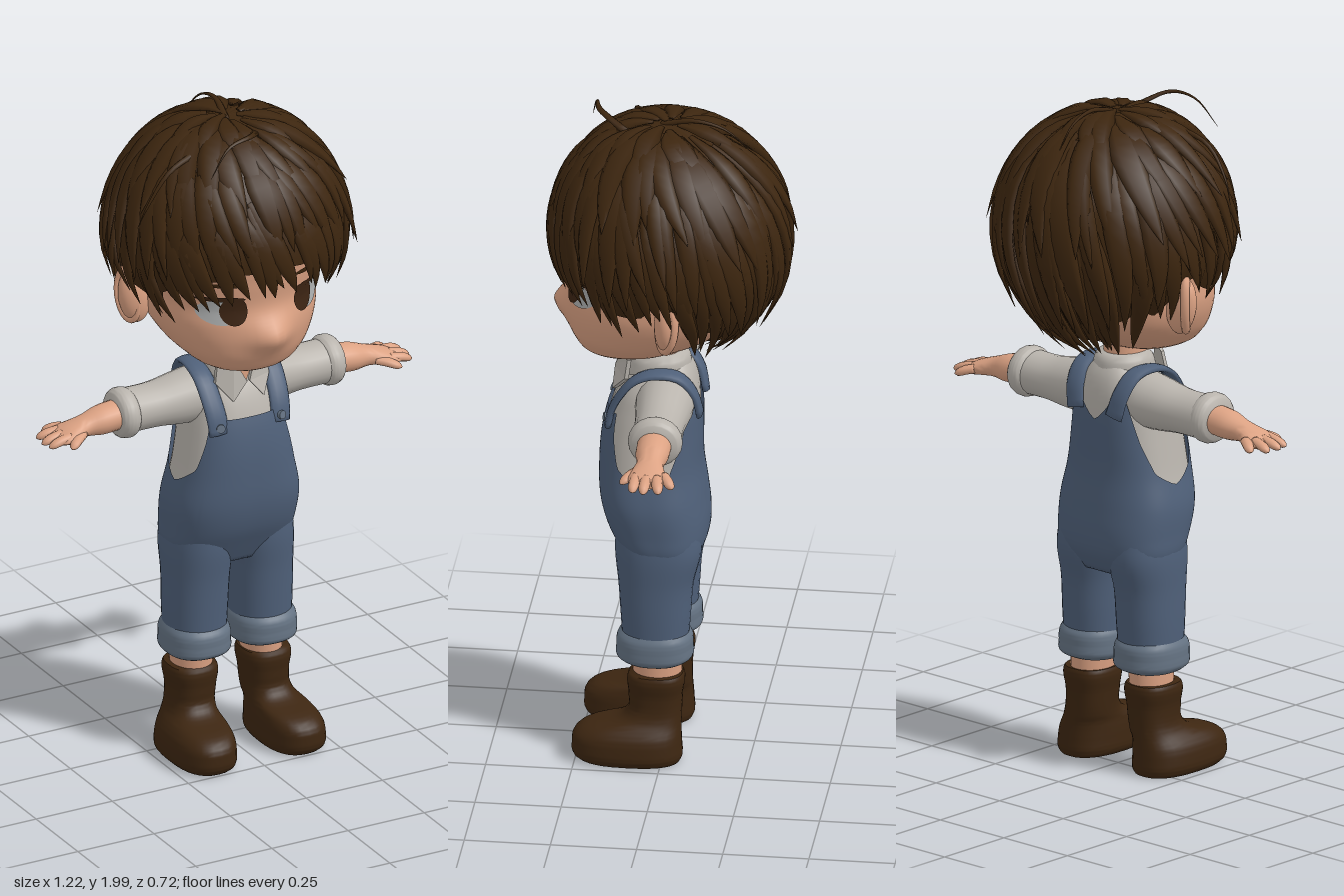
import * as THREE from 'three';
import { toCreasedNormals } from 'three/addons/utils/BufferGeometryUtils.js';

const V = (x, y, z) => new THREE.Vector3(x, y, z);
const mat = (name, color, side = THREE.FrontSide) => {
  const m = new THREE.MeshStandardMaterial({ color, side });
  m.name = name;
  return m;
};

// Interpolates rows of [key, ...values]
function sampler(rows, Kind = THREE.CubicInterpolant) {
  const f = new Kind(rows.map(r => r[0]), rows.flatMap(r => r.slice(1)), rows[0].length - 1);
  return k => Array.from(f.evaluate(k));
}

// Skin over closed rings of points; faces are turned outward
function loft(rings, capped = true, crease = 0) {
  const n = rings[0].length, pts = rings.flat(), tri = [];
  for (let i = 0; i < rings.length - 1; i++) for (let j = 0; j < n; j++) {
    const a = i * n + j, b = i * n + (j + 1) % n;
    tri.push([a, b, b + n], [a, b + n, a + n]);
  }
  if (capped) [0, rings.length - 1].forEach((r, end) => {
    const c = pts.length;
    pts.push(rings[r].reduce((s, p) => s.add(p), V(0, 0, 0)).divideScalar(n));
    for (let j = 0; j < n; j++) {
      const a = r * n + j, b = r * n + (j + 1) % n;
      tri.push(end ? [c, a, b] : [c, b, a]);
    }
  });
  const mid = pts.reduce((s, p) => s.add(p), V(0, 0, 0)).divideScalar(pts.length);
  let volume = 0;
  for (const t of tri) {
    const [a, b, c] = t.map(i => pts[i].clone().sub(mid));
    volume += a.dot(b.cross(c));
  }
  const geo = new THREE.BufferGeometry().setFromPoints(pts);
  geo.setIndex((volume < 0 ? tri.map(t => [t[0], t[2], t[1]]) : tri).flat());
  if (crease) return toCreasedNormals(geo, crease);
  geo.computeVertexNormals();
  return geo;
}

// Horizontal rounded section; one point at angle a from the front
function ovalPoint(a, y, cx, hw, zf, zb, p) {
  const pow = v => Math.sign(v) * Math.abs(v) ** (2 / p);
  return V(cx + hw * pow(Math.sin(a)), y, (zf + zb) / 2 + (zf - zb) / 2 * pow(Math.cos(a)));
}
const around = (n, fn) => Array.from({ length: n }, (_, i) => fn(i / n * Math.PI * 2));
// Upright form from rows of [y, centreX, halfWidth, zFront, zBack]
function upright(rows, s = 1, p = 2.2, steps = 24, crease = 1) {
  const f = sampler(rows), y0 = rows[0][0], y1 = rows.at(-1)[0], rings = [];
  for (let i = 0; i <= steps; i++) {
    const y = y0 + (y1 - y0) * i / steps, [cx, hw, zf, zb] = f(y);
    rings.push(around(32, a => ovalPoint(a, y, s * cx, hw, zf, zb, p)));
  }
  return loft(rings, true, crease);
}
// Sideways form from rows of [x, centreY, halfHeight, halfDepth]
function sideways(rows, s, cz, steps = 16) {
  const f = sampler(rows), x0 = rows[0][0], x1 = rows.at(-1)[0], rings = [];
  for (let i = 0; i <= steps; i++) {
    const x = x0 + (x1 - x0) * i / steps, [cy, hy, hz] = f(x);
    rings.push(around(20, a => V(s * x, cy + hy * Math.cos(a), cz + hz * Math.sin(a))));
  }
  return loft(rings, true, 1);
}
// Band swept along a curve; up(p) is its thickness direction, size(t) its half sizes
function sweep(points, up, size, n = 8, steps = 12) {
  const curve = new THREE.CatmullRomCurve3(points), rings = [];
  for (let i = 0; i <= steps; i++) {
    const p = curve.getPoint(i / steps), t = curve.getTangent(i / steps);
    const side = t.clone().cross(up(p)).normalize(), nor = side.clone().cross(t).normalize();
    const [w, h] = size(i / steps);
    rings.push(around(n, a => p.clone().addScaledVector(side, w * Math.cos(a)).addScaledVector(nor, h * Math.sin(a))));
  }
  return loft(rings);
}

// Head profile and face surface
const headRow = sampler([
  [1.243, .05, .2, .07], [1.26, .12, .24, .0], [1.3, .18, .272, -.1], [1.36, .225, .288, -.2], [1.42, .246, .29, -.25],
  [1.48, .25, .282, -.28], [1.55, .265, .29, -.29], [1.65, .285, .3, -.29], [1.8, .23, .24, -.23], [1.9, .1, .1, -.1]]);
const nose = (x, y) => .042 * Math.exp(-((x / .06) ** 2) - ((y - 1.385) / .05) ** 2);
function faceZ(x, y) {
  const [hw, zf, zb] = headRow(y);
  return (zf + zb) / 2 + (zf - zb) / 2 * Math.max(0, 1 - Math.abs(x / hw) ** 2.2) ** (1 / 2.2) + nose(x, y);
}

// Hair volume: az is measured from the front, phi down from the crown
const hairCentre = V(.01, 1.62, 0);
const hem = sampler([[0, 1.76], [.5, 1.82], [.9, 1.95], [1.25, 2.1], [1.45, 2.02], [1.6, 1.85], [1.8, 2.1], [2.1, 2.5], [3.15, 2.78]],
  THREE.LinearInterpolant);
const hemAt = az => hem(Math.abs(Math.atan2(Math.sin(az), Math.cos(az))))[0];
function hairPoint(az, phi, lift) {
  const taper = 1 - .12 * THREE.MathUtils.smoothstep(phi, 1.7, 2.4);
  const r = Math.sin(phi);
  return V((.335 + lift) * r * Math.sin(az) * taper, (.345 + lift) * Math.cos(phi), (.335 + lift) * r * Math.cos(az)).add(hairCentre);
}

export function createModel() {
  const model = new THREE.Group();
  const skin = mat('skin', 0xdca283), hairMat = mat('dark brown hair', 0x3d260f, THREE.DoubleSide);
  const denim = mat('blue denim', 0x4f6079, THREE.DoubleSide), cuffMat = mat('pale denim', 0x657383);
  const shirt = mat('grey white shirt', 0xb9b4ad), leather = mat('brown leather', 0x3d2611);
  const white = mat('eye white', 0xaeb0b0), iris = mat('iris brown', 0x3c2413);
  const add = (name, geo, m) => {
    const mesh = new THREE.Mesh(geo, m);
    mesh.name = name;
    model.add(mesh);
    return mesh;
  };

  // Head
  const headRings = [];
  for (let i = 0; i <= 60; i++) {
    const y = 1.243 + .657 * i / 60, [hw, zf, zb] = headRow(y);
    headRings.push(around(64, a => {
      const p = ovalPoint(a, y, 0, hw, zf, zb, 2.2);
      if (Math.cos(a) > 0) p.z += nose(p.x, y);
      return p;
    }));
  }
  add('head', loft(headRings), skin);
  add('neck', upright([[1.12, 0, .06, .1, -.03], [1.3, 0, .06, .11, -.04]], 1, 2, 2), skin);

  // Eye details follow the face
  const patch = (name, cx, cy, rx, ry, off, m) => {
    const g = new THREE.RingGeometry(.001, 1, 28, 4), q = g.attributes.position;
    for (let i = 0; i < q.count; i++) {
      const x = cx + rx * q.getX(i), y = cy + ry * q.getY(i);
      q.setXYZ(i, x, y, faceZ(x, y) + off);
    }
    g.computeVertexNormals();
    add(name, g, m);
  };
  for (const s of [-1, 1]) {
    patch('eyeWhite', s * .142, 1.473, .056, .04, .004, white);
    patch('iris', s * .114 + .004, 1.478, .037, .045, .007, iris);
    patch('upperLash', s * .142, 1.516, .062, .008, .009, iris);
    patch('eyebrow', s * .13, 1.562, .05, .008, .005, hairMat);

    // Ears with a raised rim
    const ear = add('ear', new THREE.SphereGeometry(1, 24, 16), skin);
    ear.scale.set(.05, .088, .036);
    ear.position.set(s * .275, 1.447, -.028);
    ear.rotation.z = -s * .15;
    const rim = add('earRim', new THREE.TorusGeometry(.055, .013, 8, 24), skin);
    rim.scale.set(.62, 1.35, 1);
    rim.position.set(s * .295, 1.452, -.03);
    rim.rotation.set(0, s * .9, -s * .12);
  }

  // Hair cap
  const capRings = [];
  for (let i = 0; i <= 24; i++) capRings.push(around(96, az => {
    const front = Math.cos(az) > .4 ? .2 : .07;
    const phi = .01 + (hemAt(az) - front) * i / 24;
    return hairPoint(az, phi, .006 * Math.sin(19 * az + 3 * phi) * Math.sin(phi));
  }));
  add('hairCap', loft(capRings, false), hairMat);

  // Hair locks in overlapping layers
  let seed = 7;
  const rnd = () => (seed = (seed * 16807) % 2147483647) / 2147483647;
  const outward = p => p.clone().sub(hairCentre).normalize();
  function layer(name, count, from, to, width, lift, kick) {
    for (let i = 0; i < count; i++) {
      const az = (i + .5 + (rnd() - .5) * .7) / count * Math.PI * 2, turn = .1 + rnd() * .3;
      const end = to(az) + (rnd() - .5) * .14, start = from + rnd() * .15, pts = [];
      const flick = kick * (.4 + rnd()) * (Math.cos(az) > .6 ? .2 : 1);
      for (let k = 0; k <= 5; k++) {
        const t = k / 5;
        pts.push(hairPoint(az + turn * (t - 1) * 1.3, start + (end - start) * t, lift * Math.sin(Math.PI * (.15 + .7 * t)) + flick * t ** 4));
      }
      const w = width * (.75 + rnd() * .5);
      add(name, sweep(pts, outward, t => {
        const k = Math.min(1, .25 + t * 2) * (1 - t ** 3) + .01;
        return [w * k, .014 * k];
      }, 6, 12), hairMat);
    }
  }
  layer('hemLock', 52, .9, az => hemAt(az) + .03, .034, .008, .03);
  layer('middleLock', 40, .45, az => hemAt(az) * .84, .04, .014, .034);
  layer('upperLock', 26, .15, az => hemAt(az) * .6, .042, .016, .024);
  layer('crownLock', 12, .03, () => .75, .036, .014, .01);
  // Loose strands on top
  for (const p of [
    [V(.04, 1.95, .12), V(-.02, 1.985, .2), V(-.1, 1.975, .22), V(-.17, 1.9, .24)],
    [V(0, 1.96, .02), V(.02, 1.985, -.08), V(.02, 1.96, -.17), V(.01, 1.88, -.25)],
    [V(-.12, 1.93, .1), V(-.24, 1.89, .12), V(-.31, 1.8, .12), V(-.34, 1.73, .11)]])
    add('looseStrand', sweep(p, outward, t => [.012 * (1.05 - t), .008 * (1.05 - t)], 6, 14), hairMat);

  // Shirt body with overalls as a shell outside it
  const bodyRows = [
    [.6, 0, .165, .11, -.085], [.66, 0, .195, .142, -.115], [.72, 0, .2, .172, -.12], [.8, 0, .2, .193, -.112],
    [.9, 0, .178, .197, -.1], [1, 0, .16, .19, -.1], [1.08, 0, .146, .172, -.1], [1.15, 0, .128, .142, -.095],
    [1.2, 0, .09, .105, -.08], [1.23, 0, .06, .085, -.06]];
  add('shirtBody', upright(bodyRows.slice(2).map(([y, c, w, f, b]) => [y, c, w - .009, f - .009, b + .009]), 1, 2.6, 30), shirt);
  const bodyAt = sampler(bodyRows);
  const topEdge = sampler([[0, 1.08], [.84, 1.08], [.9, 1.02], [1.1, .925], [1.57, .87], [1.95, .91], [2.2, 1],
    [2.35, 1.09], [2.45, 1.14], [2.72, 1.14], [3.15, 1.06]], THREE.LinearInterpolant);
  const shell = [around(128, () => V(0, .595, .01))];
  for (let i = 0; i <= 30; i++) shell.push(around(128, a => {
    const y = .6 + (topEdge(Math.min(a, 2 * Math.PI - a))[0] - .6) * i / 30;
    return ovalPoint(a, y, ...bodyAt(y), 2.6);
  }));
  add('overallsBody', loft(shell, false), denim);

  // Shirt collar
  add('collarBand', upright([[1.17, 0, .09, .125, -.07], [1.2, 0, .088, .12, -.068], [1.235, 0, .078, .105, -.06], [1.245, 0, .068, .09, -.05]], 1, 2, 10), shirt);
  add('openNeck', new THREE.ShapeGeometry(new THREE.Shape([[-.032, 1.25], [0, 1.165], [.032, 1.25]].map(p => new THREE.Vector2(...p)))), skin)
    .position.z = .133;

  for (const s of [-1, 1]) {
    const flap = new THREE.ExtrudeGeometry(new THREE.Shape([[.004, 1.185], [.05, 1.13], [.088, 1.18], [.078, 1.235], [.035, 1.25]]
      .map(([x, y]) => new THREE.Vector2(s * x, y))), { depth: .012, bevelEnabled: false });
    const q = flap.attributes.position;
    for (let i = 0; i < q.count; i++)
      q.setZ(i, q.getZ(i) + .158 - (q.getY(i) - 1.13) * .28 - 5 * q.getX(i) ** 2);
    flap.computeVertexNormals();
    add('collarFlap', flap, shirt);

    // Straps over the shoulders, with buttons
    add('strap', sweep([[.1, 1.04, .163], [.104, 1.09, .152], [.108, 1.14, .126], [.11, 1.188, .085], [.108, 1.209, .03],
      [.1, 1.2, -.04], [.09, 1.15, -.083], [.075, 1.08, -.1]].map(([x, y, z]) => V(s * x, y, z)),
    p => V(0, p.y - 1.08, p.z - .02).normalize(), () => [.032, .011], 10, 24), denim);
    const button = add('button', new THREE.CylinderGeometry(.013, .013, .01, 16), cuffMat);
    button.position.set(s * .1, 1.062, .171);
    button.rotation.set(1.4, 0, -s * .3);

    // Arm: sleeve, turned cuff, forearm, fingers
    const cz = s > 0 ? -.004 : .026;
    add('sleeve', sideways([[.05, 1.125, .06, .075], [.1, 1.118, .08, .085], [.16, 1.113, .077, .08], [.24, 1.11, .066, .072], [.35, 1.11, .066, .07]], s, cz * .7), shirt);
    add('sleeveCuff', sideways([[.318, 1.11, .064, .068], [.325, 1.11, .071, .075], [.362, 1.11, .071, .075], [.372, 1.11, .062, .066]], s, cz), shirt);
    add('forearm', sideways([[.35, 1.11, .043, .05], [.42, 1.103, .042, .048], [.47, 1.097, .031, .039], [.505, 1.09, .026, .048],
      [.54, 1.082, .021, .056], [.565, 1.078, .012, .048]], s, cz), skin);
    for (const [x0, z0, x1, z1] of [[.49, .03, .55, .076], [.53, .032, .603, .036], [.54, .002, .61, .004], [.54, -.028, .605, -.04], [.52, -.045, .568, -.076]])
      add('finger', sweep([V(s * x0, 1.088, cz + z0), V(s * (x0 + x1) / 2, 1.082, cz + (z0 + z1) / 2), V(s * x1, 1.07, cz + z1)],
        () => V(0, 1, 0), t => [.0165, .0135].map(r => r * Math.sqrt(Math.max(.02, 1 - t ** 5))), 10, 10), skin);

    // Trouser leg, rolled cuff, shin
    add('trouserLeg', upright([[.34, .107, .088, .118, -.07], [.45, .106, .092, .125, -.078], [.55, .104, .094, .132, -.086],
      [.65, .1, .099, .142, -.108], [.73, .1, .09, .14, -.1]], s), denim);
    add('trouserCuff', upright([[.308, .108, .085, .115, -.065], [.318, .108, .096, .133, -.082], [.35, .108, .099, .137, -.085],
      [.385, .108, .096, .133, -.082], [.402, .108, .087, .118, -.07]], s, 2.3, 16), cuffMat);
    add('shin', upright([[.2, .117, .058, .085, -.05], [.35, .112, .062, .092, -.055]], s, 2, 3), skin);

    // Boot
    add('boot', upright([[0, .145, .08, .24, -.05], [.012, .146, .09, .255, -.057], [.05, .146, .092, .262, -.057], [.085, .143, .087, .252, -.055],
      [.108, .137, .078, .215, -.054], [.125, .13, .071, .14, -.054], [.15, .124, .067, .105, -.054], [.2, .12, .068, .1, -.056],
      [.262, .12, .074, .102, -.061], [.27, .12, .07, .097, -.057]], s, 2.5, 45), leather);
  }
  return model;
}
